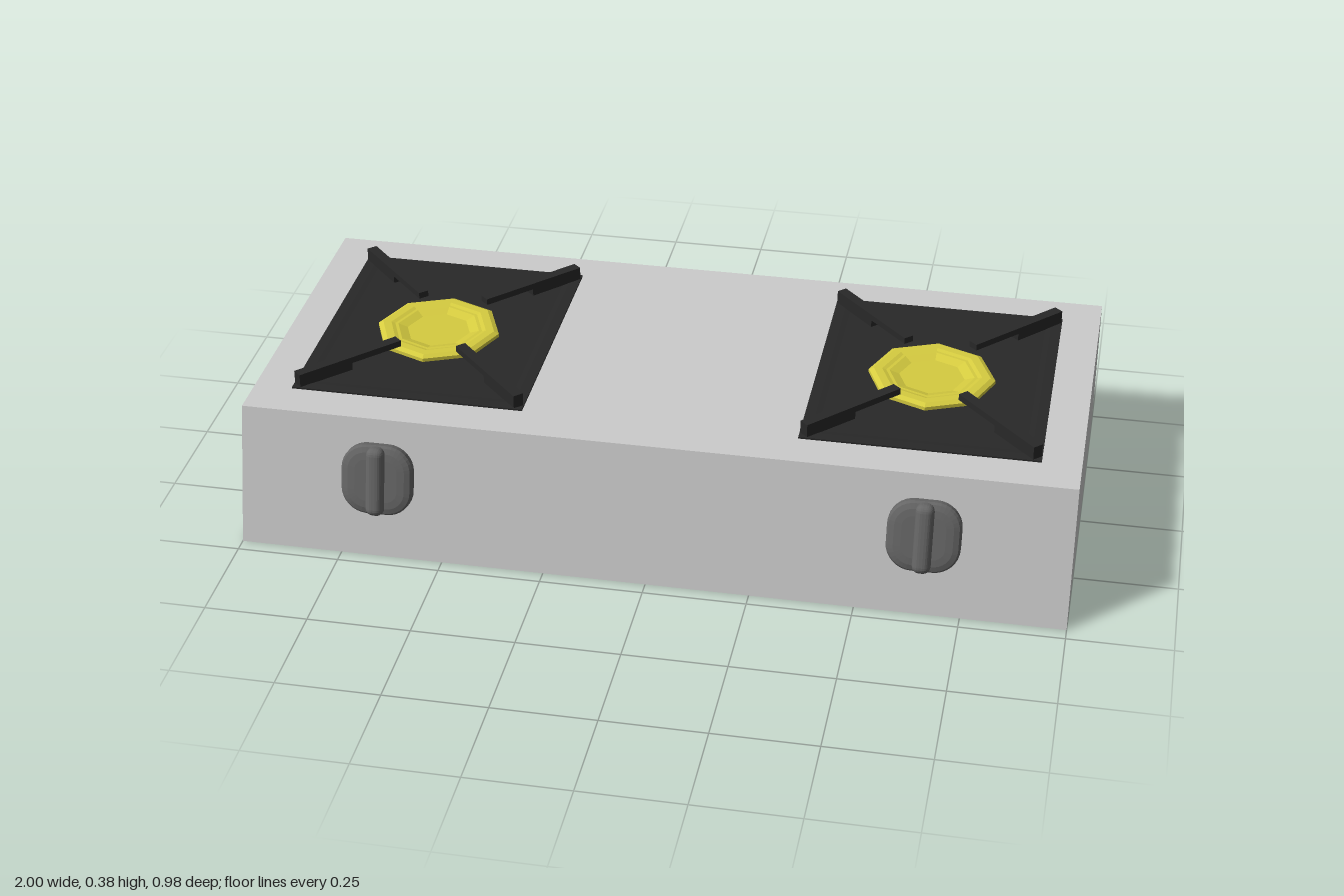
import * as THREE from 'three';
import { RoundedBoxGeometry } from 'three/addons/geometries/RoundedBoxGeometry.js';

const TOP = 0.338;
const FRONT_TILT = Math.atan(0.08 / TOP);

const bodyMat = new THREE.MeshStandardMaterial({ color: 0xcccccc, flatShading: true });
const ironMat = new THREE.MeshStandardMaterial({ color: 0x282828, flatShading: true });
const brassMat = new THREE.MeshStandardMaterial({ color: 0xd6cc40, flatShading: true });
const knobMat = new THREE.MeshStandardMaterial({ color: 0x666666, flatShading: true });

function add(parent, name, geometry, material, x = 0, y = 0, z = 0) {
  const mesh = new THREE.Mesh(geometry, material);
  mesh.name = name;
  mesh.position.set(x, y, z);
  parent.add(mesh);
  return mesh;
}

function polygon(points) {
  return new THREE.Shape(points.map(([x, y]) => new THREE.Vector2(x, y)));
}

// Case with a leaning front panel: side outline swept across the width
function caseGeometry() {
  const side = polygon([[-0.465, 0], [0.487, 0], [0.487, TOP], [-0.385, TOP]]);
  const g = new THREE.ExtrudeGeometry(side, { depth: 2, bevelEnabled: false });
  return g.translate(0, 0, -1).rotateY(Math.PI / 2);
}

// Shallow rectangular frame: a low rim sloping in towards the burner
function panGeometry() {
  const w = 0.286, d = 0.34;
  const rings = [[0, 0], [0, 0.004], [0.025, 0.004], [0.04, 0.003], [0.17, 0.002]];
  const pos = [], index = [];
  for (const [inset, y] of rings)
    for (const [sx, sz] of [[-1, 1], [1, 1], [1, -1], [-1, -1]])
      pos.push(sx * (w - inset), y, sz * (d - inset));
  for (let r = 0; r < rings.length - 1; r++)
    for (let i = 0; i < 4; i++) {
      const a = r * 4 + i, b = r * 4 + (i + 1) % 4;
      index.push(a, b, b + 4, a, b + 4, a + 4);
    }
  const n = (rings.length - 1) * 4;
  index.push(n, n + 1, n + 2, n, n + 2, n + 3);
  const g = new THREE.BufferGeometry();
  g.setAttribute('position', new THREE.Float32BufferAttribute(pos, 3));
  g.setIndex(index);
  const flat = g.toNonIndexed();
  flat.computeVertexNormals();
  return flat;
}

// Pan support finger: thick foot at the corner, thin tip over the burner
function armGeometry() {
  const profile = polygon([[0, 0], [0.146, 0], [0.146, 0.021], [0.285, 0.021], [0.285, 0.037], [0, 0.037]]);
  const g = new THREE.ExtrudeGeometry(profile, { depth: 0.026, bevelEnabled: false });
  return g.translate(0, 0, -0.013);
}

// Eight-sided burner with a raised rim and dished centre
function burnerGeometry() {
  const profile = [[0.155, 0], [0.155, 0.01], [0.143, 0.016], [0.122, 0.016], [0.112, 0.013], [0.104, 0.013], [0.08, 0.005], [0, 0.005]];
  return new THREE.LatheGeometry(profile.map(([r, y]) => new THREE.Vector2(r, y)), 8);
}

function createHob(name, x) {
  const hob = new THREE.Group();
  hob.name = name;
  hob.position.set(x, TOP, -0.055);
  add(hob, 'grateFrame', panGeometry(), ironMat);
  const arm = armGeometry();
  for (const sx of [-1, 1])
    for (const sz of [-1, 1]) {
      const m = add(hob, 'grateArm', arm, ironMat, sx * 0.275, 0, sz * 0.328);
      m.rotation.y = Math.atan2(sz * 0.212, -sx * 0.2);
    }
  add(hob, 'burner', burnerGeometry(), brassMat, -0.007, 0.001, 0.008);
  return hob;
}

// Rounded square dial with a vertical grip ridge
function createKnob(name, x) {
  const knob = new THREE.Group();
  knob.name = name;
  knob.position.set(x, 0.2, 0.465 - 0.2 * Math.tan(FRONT_TILT));
  knob.rotation.x = -FRONT_TILT;
  const h = 0.052, r = 0.028;
  const s = new THREE.Shape();
  s.absarc(h - r, h - r, r, 0, Math.PI / 2);
  s.absarc(r - h, h - r, r, Math.PI / 2, Math.PI);
  s.absarc(r - h, r - h, r, Math.PI, Math.PI * 1.5);
  s.absarc(h - r, r - h, r, Math.PI * 1.5, Math.PI * 2);
  const dial = new THREE.ExtrudeGeometry(s, {
    depth: 0.016, bevelThickness: 0.012, bevelSize: 0.035, bevelSegments: 3, curveSegments: 4,
  });
  add(knob, 'knobDial', dial, knobMat, 0, 0, 0.014);
  add(knob, 'knobGrip', new RoundedBoxGeometry(0.044, 0.17, 0.058, 3, 0.018), knobMat, 0, 0, 0.034);
  return knob;
}

export function createModel() {
  const model = new THREE.Group();
  model.name = 'gasStove';
  add(model, 'case', caseGeometry(), bodyMat);
  for (const [side, s] of [['left', 1], ['right', -1]]) {
    model.add(createHob(side + 'Hob', s * 0.62));
    model.add(createKnob(side + 'Knob', s * 0.655));
  }
  return model;
}
